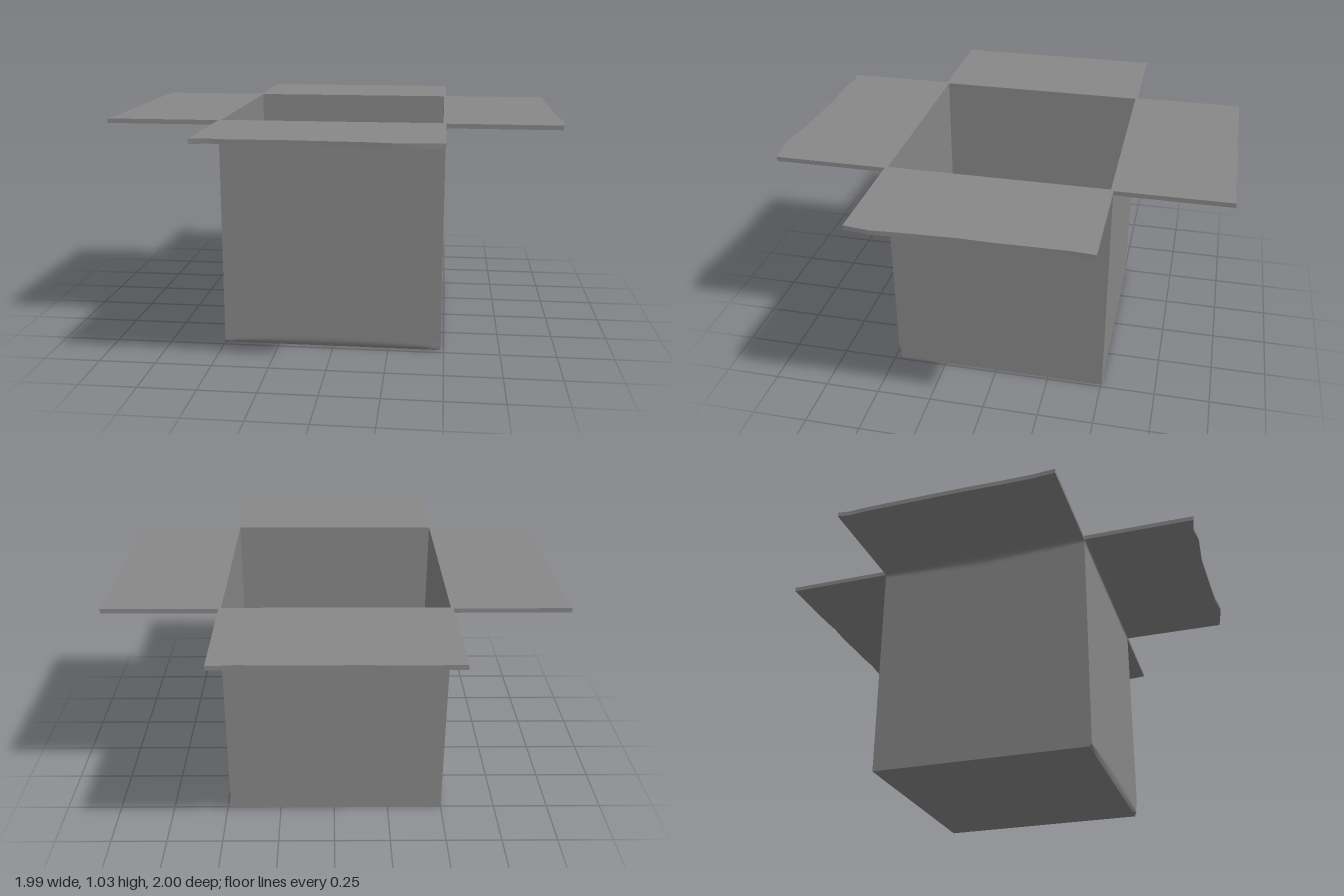
import * as THREE from 'three';
import { toCreasedNormals } from 'three/addons/utils/BufferGeometryUtils.js';

const HALF = 0.4925, THICK = 0.011, TOP = 1.03, FLAP = 0.02;
const material = new THREE.MeshStandardMaterial({ color: 0x888888, side: THREE.DoubleSide });

function part(name, geometry) {
  const mesh = new THREE.Mesh(toCreasedNormals(geometry, 0.6), material);
  mesh.name = name;
  return mesh;
}

// Each side in its own frame: u along the fold, distance outward along +z.
// edge: [u, distance] points of the torn outer edge; crease: softened fold below.
const sides = [
  { name: 'front', turn: 0, crease: { depth: 0.04, out: 0.06, peak: -0.25 },
    edge: [[-HALF, 0.987], [-0.42, 0.975], [-0.33, 0.988], [-0.15, 0.979], [0.1, 0.99], [0.22, 0.997], [0.335, 1.0125], [0.42, 1.0], [HALF, 0.989]] },
  { name: 'left', turn: Math.PI / 2, crease: { depth: 0.07, out: 0.12, peak: 0 },
    edge: [[-HALF, 0.983], [-0.38, 0.998], [-0.26, 0.99], [-0.04, 0.982], [0.1, 0.985], [0.39, 0.981], [HALF, 0.988]] },
  { name: 'back', turn: Math.PI, crease: { depth: 0.05, out: 0.12, peak: -0.2 },
    edge: [[-HALF, 0.9875], [-0.44, 0.9875], [-0.375, 0.982], [-0.28, 0.9875], [0, 0.9875], [0.08, 0.982], [0.16, 0.9875], [HALF, 0.9875]] },
  { name: 'right', turn: -Math.PI / 2, crease: { depth: 0.06, out: 0.12, peak: 0 },
    edge: [[-HALF, 0.99], [-0.44, 0.982], [-0.36, 0.987], [0.1, 0.987], [0.25, 0.983], [0.4, 0.983], [HALF, 0.99]] },
];

// Flat flap with an uneven outer edge
function flapGeometry(edge) {
  const shape = new THREE.Shape();
  shape.moveTo(HALF, HALF);
  shape.lineTo(-HALF, HALF);
  edge.forEach(([u, d]) => shape.lineTo(u, d));
  shape.closePath();
  const geometry = new THREE.ExtrudeGeometry(shape, { depth: FLAP, bevelEnabled: false });
  return geometry.rotateX(Math.PI / 2).translate(0, TOP, 0);
}

// Concave web between wall and flap, widest at its peak
function creaseGeometry({ depth, out, peak }) {
  const positions = [], index = [], nu = 24, ns = 10;
  for (let i = 0; i <= nu; i++) {
    const u = -HALF + (2 * HALF * i) / nu;
    const reach = u < peak ? peak + HALF : HALF - peak;
    const k = 1 - Math.abs(u - peak) / reach;
    const d = 0.025 + (depth - 0.025) * k, o = 0.025 + (out - 0.025) * k;
    for (let j = 0; j <= ns; j++) {
      const s = j / ns;
      positions.push(u, TOP - FLAP - d * (1 - s) ** 3, HALF + o * s ** 3);
    }
  }
  for (let i = 0; i < nu; i++) {
    for (let j = 0; j < ns; j++) {
      const a = i * (ns + 1) + j, b = a + ns + 1;
      index.push(a, b, b + 1, a, b + 1, a + 1);
    }
  }
  const geometry = new THREE.BufferGeometry();
  geometry.setAttribute('position', new THREE.Float32BufferAttribute(positions, 3));
  geometry.setIndex(index);
  return geometry;
}

// Upright wall; the front one is dented along its foot and at one corner
function wallGeometry(width, dented) {
  const [nu, nv] = dented ? [32, 104] : [1, 1];
  const geometry = new THREE.BoxGeometry(width, TOP, THICK, nu, nv, 1);
  geometry.translate(0, TOP / 2, HALF - THICK / 2);
  if (!dented) return geometry;
  const p = geometry.attributes.position;
  for (let i = 0; i < p.count; i++) {
    const x = p.getX(i), y = p.getY(i);
    const foot = 0.01 + 0.03 * (1 - (x / HALF) ** 2);
    const corner = x > HALF - 0.001 ? Math.max(0, 1 - y / 0.08) : 0;
    const dent = Math.max(Math.max(0, 1 - y / foot) ** 2, corner);
    p.setZ(i, p.getZ(i) - 0.01 * dent);
    p.setX(i, x - 0.004 * corner);
  }
  return geometry;
}

export function createModel() {
  const box = new THREE.Group();
  box.name = 'openBox';

  for (const { name, turn, edge, crease } of sides) {
    const side = new THREE.Group();
    side.name = name + 'Side';
    side.rotation.y = turn;
    const across = name === 'front' || name === 'back';
    side.add(
      part(name + 'Wall', wallGeometry(2 * (across ? HALF : HALF - THICK), name === 'front')),
      part(name + 'Flap', flapGeometry(edge)),
      part(name + 'Crease', creaseGeometry(crease)),
    );
    box.add(side);
  }

  // Floor between the walls
  const inner = 2 * (HALF - THICK);
  const floor = part('floor', new THREE.BoxGeometry(inner, THICK, inner));
  floor.position.y = THICK / 2;
  box.add(floor);

  box.position.set(-0.0075, 0, -0.0125);
  const model = new THREE.Group();
  model.name = 'cardboardBox';
  model.add(box);
  return model;
}
